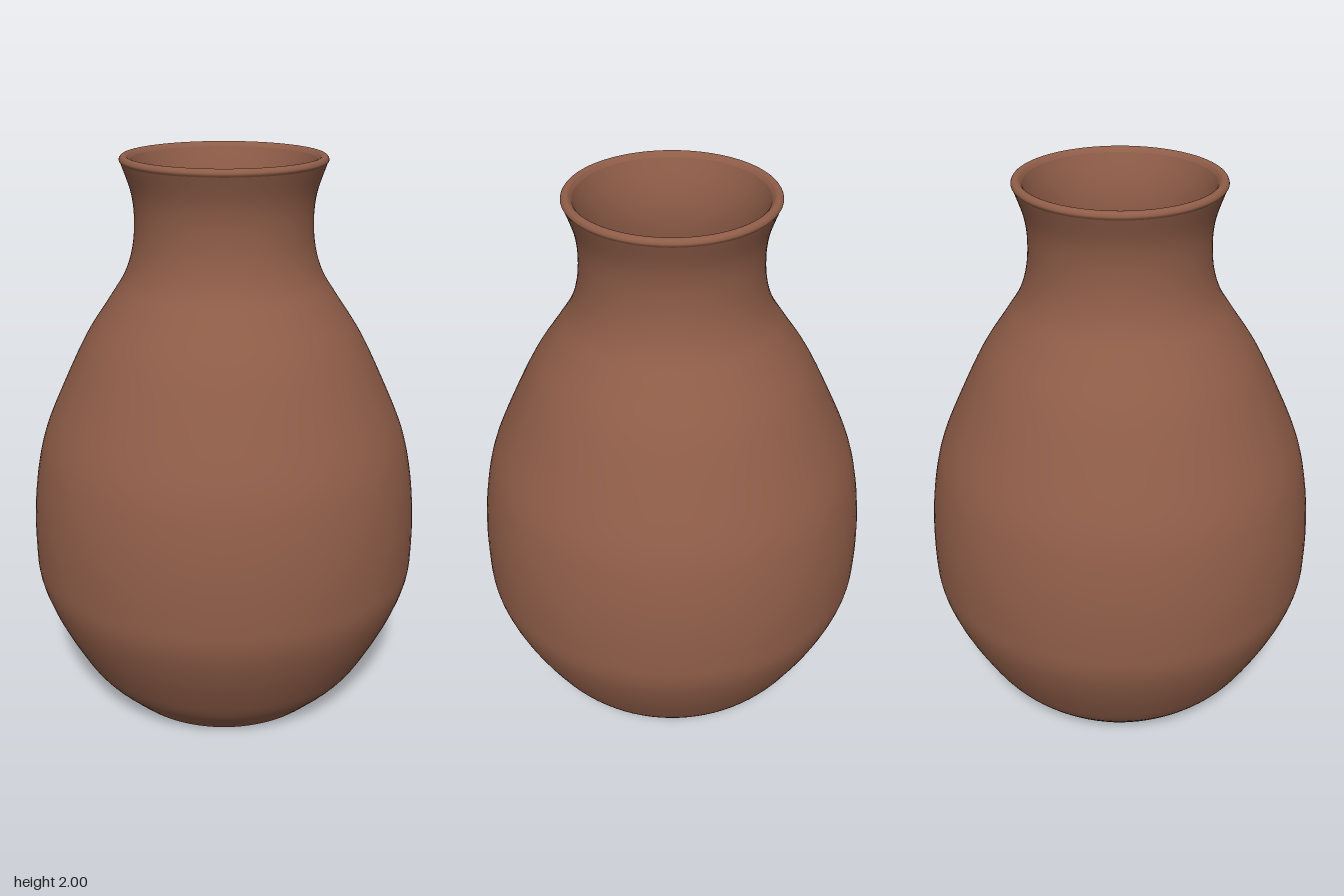
import * as THREE from 'three';

const SEGMENTS = 96;

export function createModel() {
  const group = new THREE.Group();
  group.name = 'vase';
  const clay = new THREE.MeshStandardMaterial({ color: 0x8f5d48 });
  clay.name = 'terracotta';

  // Revolve a smooth curve through [radius, height] points
  function turn(name, profile, samples) {
    const curve = new THREE.SplineCurve(profile.map(([r, y]) => new THREE.Vector2(r, y)));
    const mesh = new THREE.Mesh(new THREE.LatheGeometry(curve.getPoints(samples), SEGMENTS), clay);
    mesh.name = name;
    group.add(mesh);
  }

  // Flat disc facing up or down
  function disc(name, radius, y, facing) {
    const mesh = new THREE.Mesh(new THREE.CircleGeometry(radius, SEGMENTS), clay);
    mesh.rotation.x = -facing * Math.PI / 2;
    mesh.position.y = y;
    mesh.name = name;
    group.add(mesh);
  }

  // Outer wall from foot to flared neck
  turn('outerWall', [
    [0.42, 0], [0.53, 0.12], [0.6, 0.24], [0.66, 0.37], [0.698, 0.49], [0.705, 0.6],
    [0.7, 0.75], [0.68, 0.9], [0.644, 1.04], [0.57, 1.21], [0.485, 1.38], [0.4, 1.51],
    [0.344, 1.6], [0.315, 1.69], [0.306, 1.79], [0.315, 1.88], [0.346, 1.975],
  ], 96);

  // Rounded lip
  turn('lip', [
    [0.346, 1.975], [0.351, 1.985], [0.346, 1.996], [0.336, 2], [0.325, 1.997], [0.315, 1.985],
  ], 20);

  // Inner wall following the outside
  turn('innerWall', [
    [0.315, 1.985], [0.283, 1.89], [0.269, 1.79], [0.279, 1.68], [0.31, 1.58], [0.365, 1.49],
    [0.45, 1.36], [0.535, 1.19], [0.61, 1.02], [0.645, 0.89], [0.665, 0.74], [0.67, 0.6],
    [0.662, 0.5], [0.625, 0.38], [0.565, 0.25], [0.5, 0.14], [0.41, 0.04],
  ], 80);

  disc('innerFloor', 0.41, 0.04, 1);
  disc('base', 0.42, 0, -1);

  return group;
}
